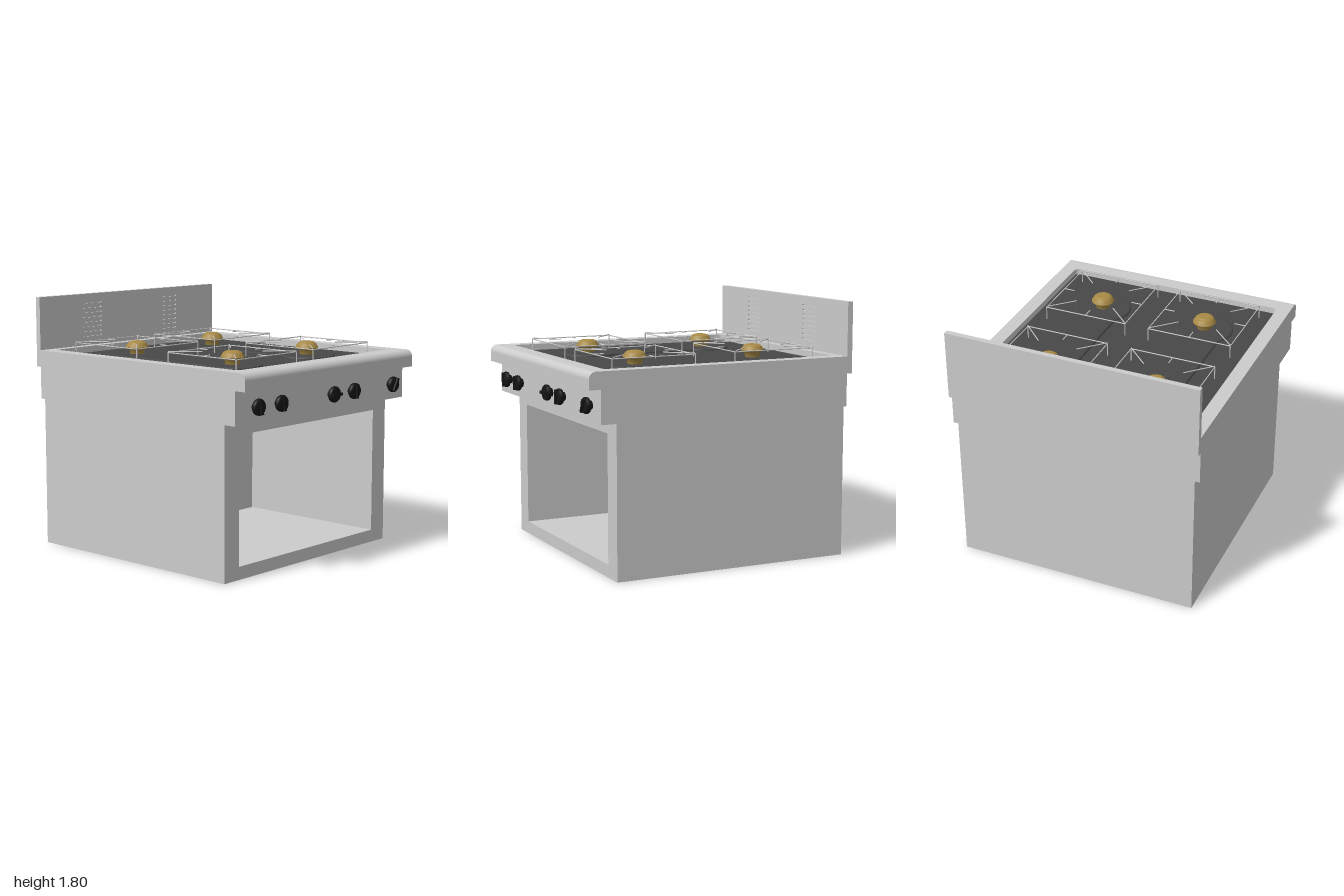
import * as THREE from 'three';

const grey = new THREE.MeshStandardMaterial({ color: 0xcccccc });
const dark = new THREE.MeshStandardMaterial({ color: 0x484848 });
const black = new THREE.MeshStandardMaterial({ color: 0x161616 });
const brass = new THREE.MeshStandardMaterial({ color: 0xa88a45, side: THREE.DoubleSide });

function add(parent, name, geometry, material = grey) {
  const mesh = new THREE.Mesh(geometry, material);
  mesh.name = name;
  parent.add(mesh);
  return mesh;
}

// Box given by its limits on each axis
function box(x0, x1, y0, y1, z0, z1) {
  return new THREE.BoxGeometry(x1 - x0, y1 - y0, z1 - z0)
    .translate((x0 + x1) / 2, (y0 + y1) / 2, (z0 + z1) / 2);
}

// Rectangle outline, optionally with rounded corners
function rect(x0, x1, y0, y1, r = 0, Type = THREE.Shape) {
  const s = new Type();
  if (r === 0) {
    s.moveTo(x0, y0).lineTo(x1, y0).lineTo(x1, y1).lineTo(x0, y1).closePath();
    return s;
  }
  s.absarc(x1 - r, y0 + r, r, -Math.PI / 2, 0);
  s.absarc(x1 - r, y1 - r, r, 0, Math.PI / 2);
  s.absarc(x0 + r, y1 - r, r, Math.PI / 2, Math.PI);
  s.absarc(x0 + r, y0 + r, r, Math.PI, Math.PI * 1.5);
  s.closePath();
  return s;
}

const extrude = (shape, depth, extra = {}) =>
  new THREE.ExtrudeGeometry(shape, { depth, bevelEnabled: false, curveSegments: 8, ...extra });

// Plan outline (x, -z) raised from height y
const extrudeUp = (shape, y, height, extra) =>
  extrude(shape, height, extra).rotateX(-Math.PI / 2).translate(0, y, 0);

// Thin wire between two points
function wire(parent, name, a, b, radius = 0.004) {
  const path = new THREE.LineCurve3(new THREE.Vector3(...a), new THREE.Vector3(...b));
  add(parent, name, new THREE.TubeGeometry(path, 1, radius, 6));
}

function makeGrate() {
  const g = new THREE.Group();
  g.name = 'panSupport';
  const h = 0.31, y = 1.47;
  for (let i = 0; i < 4; i++) {
    const side = new THREE.Group();
    side.name = 'panSupportSide';
    side.rotation.y = i * Math.PI / 2;
    wire(side, 'supportRail', [-h, y, h], [h, y, h]);
    wire(side, 'supportLeg', [h, 1.37, h], [h, y + 0.004, h]);
    wire(side, 'diagonalFinger', [h, y + 0.006, h], [0.145, y + 0.006, 0.145]);
    wire(side, 'middleFinger', [0, y, h], [0, y, 0.23]);
    g.add(side);
  }
  return g;
}

function makeBurner() {
  const g = new THREE.Group();
  g.name = 'burner';
  const profile = [[0.05, 1.38], [0.055, 1.42], [0.083, 1.434], [0.083, 1.441],
    [0.066, 1.468], [0.06, 1.474], [0, 1.474]].map(p => new THREE.Vector2(...p));
  add(g, 'burnerHead', new THREE.LatheGeometry(profile, 32), brass);
  add(g, 'burnerCap', new THREE.CylinderGeometry(0.045, 0.058, 0.008, 32).translate(0, 1.477, 0), brass);
  return g;
}

function makeKnob() {
  const g = new THREE.Group();
  g.name = 'knob';
  const profile = [[0.03, 0], [0.03, 0.018], [0.052, 0.022], [0.056, 0.03],
    [0.056, 0.045], [0.048, 0.056], [0, 0.058]].map(p => new THREE.Vector2(...p));
  add(g, 'knobBody', new THREE.LatheGeometry(profile, 28).rotateX(Math.PI / 2), black);
  add(g, 'knobGrip', box(-0.01, 0.01, -0.05, 0.05, 0.04, 0.07), black);
  return g;
}

export function createModel() {
  const model = new THREE.Group();
  model.name = 'cooker';

  // Lower cabinet: hollow plinth, front part with open compartment, solid back part
  const plinth = rect(-0.875, 0.875, -0.79, 0.96);
  plinth.holes.push(rect(-0.73, 0.73, -0.645, 0.815, 0, THREE.Path));
  add(model, 'plinth', extrudeUp(plinth, 0, 0.07));
  const cabinet = rect(-0.875, 0.875, 0.07, 1.07);
  cabinet.holes.push(rect(-0.73, 0.73, 0.09, 0.98, 0, THREE.Path));
  add(model, 'cabinetFront', extrude(cabinet, 1.16).translate(0, 0, -0.37));
  add(model, 'cabinetBack', box(-0.875, 0.875, 0.07, 1.07, -0.96, -0.37));

  // Control housing
  add(model, 'controlPanel', box(-0.91, 0.91, 1.07, 1.3, -0.96, 0.915));
  [[-0.72, 0.1], [-0.49, 0.1], [0.07, Math.PI / 2], [0.295, 0], [0.75, -0.5]].forEach(([x, turn]) => {
    const knob = makeKnob();
    knob.position.set(x, 1.18, 0.915);
    knob.rotation.z = turn;
    model.add(knob);
  });

  // Worktop rim with a rounded front nose
  const rim = rect(-0.91, 0.91, -0.915, 0.96);
  rim.holes.push(rect(-0.81, 0.81, -0.85, 0.9, 0.035, THREE.Path));
  add(model, 'worktopRim', extrudeUp(rim, 1.3, 0.12));
  const nose = new THREE.Shape();
  nose.moveTo(0.915, 1.3).lineTo(1, 1.3).lineTo(1, 1.37);
  nose.absarc(0.95, 1.37, 0.05, 0, Math.PI / 2);
  nose.lineTo(0.915, 1.42).closePath();
  add(model, 'worktopNose', extrude(nose, 1.82).rotateY(-Math.PI / 2).translate(0.91, 0, 0));

  // Sunken hob tray with raised burner plates
  add(model, 'hobTray', extrudeUp(rect(-0.81, 0.81, -0.85, 0.9, 0.035), 1.3, 0.075), dark);
  const r = 0.19, a = Math.asin(0.14 / r), q = Math.PI / 2;
  for (const x of [-0.4, 0.4]) {
    const plate = new THREE.Shape();
    plate.absarc(x, -0.43, r, q + a, 5 * q - a);
    plate.absarc(x, 0.49, r, a - q, 3 * q - a);
    plate.closePath();
    add(model, 'burnerPlate', extrudeUp(plate, 1.37, 0.008, {
      bevelEnabled: true, bevelSize: 0.02, bevelThickness: 0.012, bevelSegments: 4, curveSegments: 28,
    }), dark);
    for (const z of [-0.49, 0.435]) {
      for (const part of [makeBurner(), makeGrate()]) {
        part.position.set(x, 0, z);
        model.add(part);
      }
    }
  }

  // Splashback: plain back sheet and slotted front sheet
  add(model, 'splashbackSheet', box(-0.91, 0.91, 1.3, 1.8, -1, -0.972));
  const front = rect(-0.91, 0.91, 1.3, 1.8);
  for (const x of [-0.4, 0.4]) {
    for (let i = 0; i < 8; i++) {
      const y = 1.49 + i * 0.035;
      front.holes.push(rect(x - 0.093, x + 0.093, y - 0.006, y + 0.006, 0.0055, THREE.Path));
    }
  }
  add(model, 'splashbackVents', extrude(front, 0.012, { curveSegments: 4 }).translate(0, 0, -0.972));

  return model;
}
